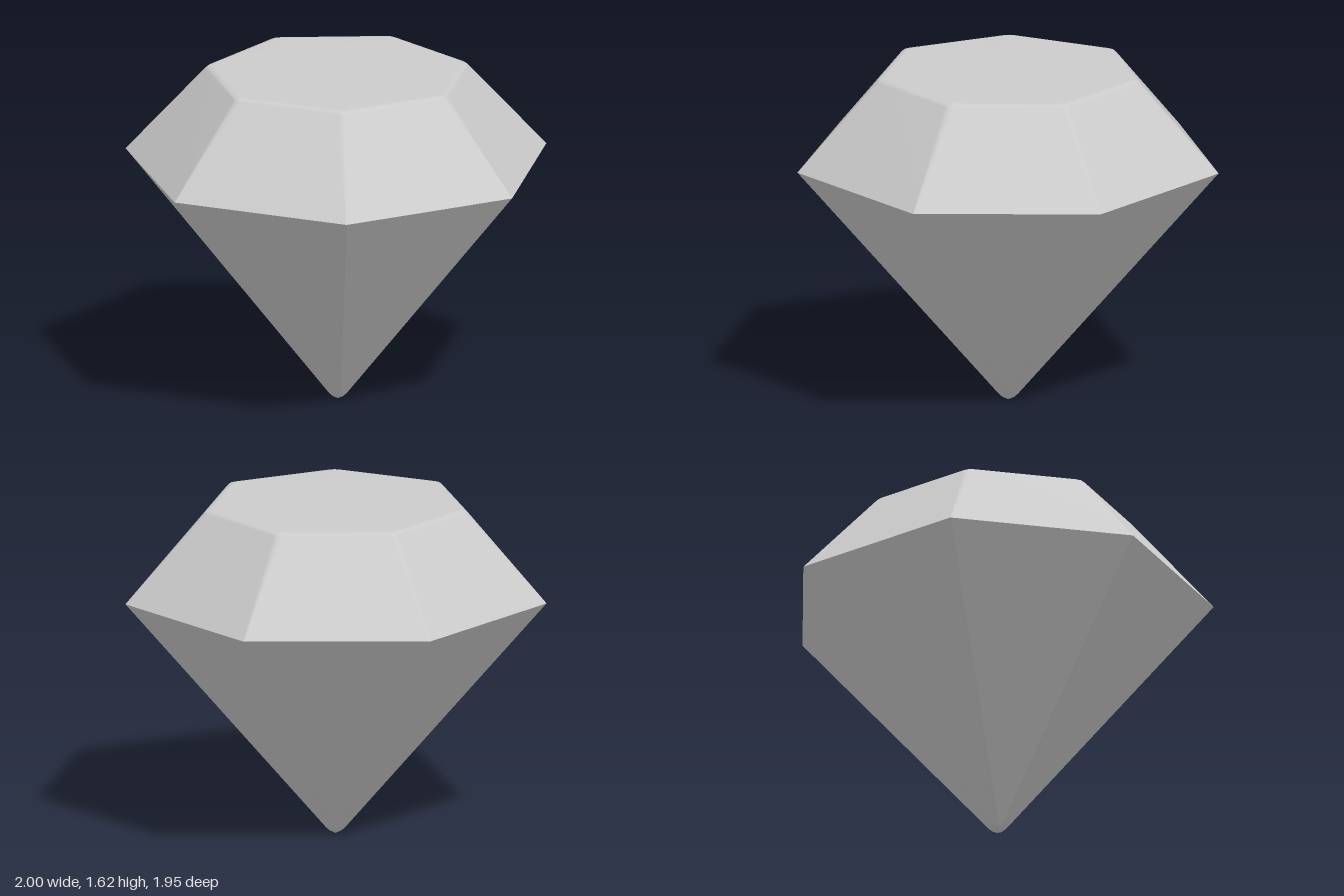
import * as THREE from 'three';

const SIDES = 7;
const RADIUS = 1.0257;
const OFFSET_Z = -0.051; // puts the odd-sided outline's bounds at the centre

const material = new THREE.MeshStandardMaterial({ color: 0xcccccc });

// One heptagonal cross-section with a vertex at the front and softened corners
function ring(r, y, bevel) {
  const corner = (i) => {
    const a = (i / SIDES) * Math.PI * 2;
    return new THREE.Vector3(Math.sin(a) * r, y, Math.cos(a) * r + OFFSET_Z);
  };
  const b = Math.min(bevel, 0.25 * r);
  const points = [];
  for (let i = 0; i < SIDES; i++) {
    const c = corner(i);
    const toward = (p) => c.clone().add(p.sub(c).normalize().multiplyScalar(b));
    const before = toward(corner(i - 1));
    const after = toward(corner(i + 1));
    const mid = before.clone().add(after).multiplyScalar(0.25).addScaledVector(c, 0.5);
    points.push(before, mid, after);
  }
  return points;
}

// Skin the cross-sections from bottom to top; area-weighted normals keep the
// large facets flat and blend only across the narrow softened edges
function facetedShell(name, sections) {
  const n = SIDES * 3;
  const positions = [];
  const index = [];
  for (const [r, y, bevel] of sections) {
    for (const p of ring(r, y, bevel)) positions.push(p.x, p.y, p.z);
  }
  for (let s = 0; s < sections.length - 1; s++) {
    for (let i = 0; i < n; i++) {
      const j = (i + 1) % n;
      const a = s * n + i, b = s * n + j, c = b + n, d = a + n;
      if (sections[s][0] > 0) index.push(a, b, d);
      if (sections[s + 1][0] > 0) index.push(b, c, d);
    }
  }
  const geometry = new THREE.BufferGeometry();
  geometry.setAttribute('position', new THREE.Float32BufferAttribute(positions, 3));
  geometry.setIndex(index);
  geometry.computeVertexNormals();
  const mesh = new THREE.Mesh(geometry, material);
  mesh.name = name;
  return mesh;
}

export function createModel() {
  const gem = new THREE.Group();
  gem.name = 'gem';

  // Lower cone of facets, ending in a blunted tip: [radius, height, bevel]
  gem.add(facetedShell('pavilion', [
    [0, 0, 0],
    [0.03, 0.014, 0.02],
    [0.049, 0.03, 0.02],
    [RADIUS, 1.185, 0.004],
  ]));

  // Upper sloping facets and flat table with a softened rim
  gem.add(facetedShell('crown', [
    [RADIUS, 1.185, 0.004],
    [0.647, 1.607, 0.025],
    [0.634, 1.619, 0.025],
    [0.605, 1.625, 0.025],
    [0, 1.625, 0],
  ]));

  return gem;
}
